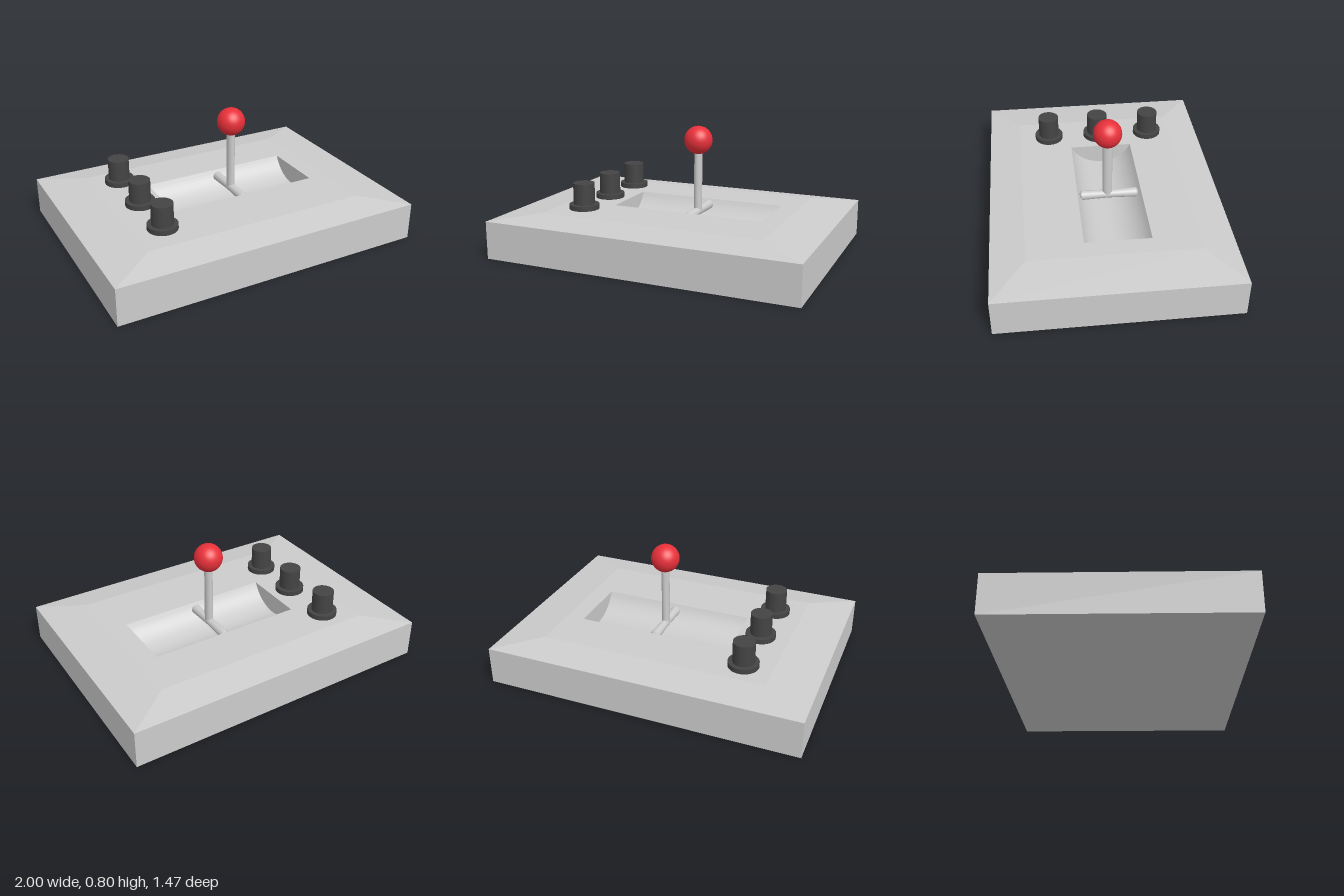
import * as THREE from 'three';

const TOP = 0.275;
const SLOT = { x0: -0.395, x1: 0.6, z0: -0.235, z1: 0.175, depth: 0.13 };
const STICK = { x: 0.105, z: -0.02 };

const mat = (color, extra = {}) => {
  const m = new THREE.MeshStandardMaterial({ color, ...extra });
  return m;
};

function add(parent, name, geometry, material, x = 0, y = 0, z = 0) {
  const mesh = new THREE.Mesh(geometry, material);
  mesh.name = name;
  mesh.position.set(x, y, z);
  parent.add(mesh);
  return mesh;
}

// Four flat walls joining rectangles given as half sizes [x, z, height]
function rectWalls(rings) {
  const corners = ([x, z, y]) => [[-x, y, z], [x, y, z], [x, y, -z], [-x, y, -z]];
  const pos = [];
  for (let r = 0; r < rings.length - 1; r++) {
    const lo = corners(rings[r]), hi = corners(rings[r + 1]);
    for (let i = 0; i < 4; i++) {
      const j = (i + 1) % 4;
      pos.push(...lo[i], ...lo[j], ...hi[j], ...lo[i], ...hi[j], ...hi[i]);
    }
  }
  const g = new THREE.BufferGeometry();
  g.setAttribute('position', new THREE.Float32BufferAttribute(pos, 3));
  g.computeVertexNormals();
  return g;
}

function rectPath(path, x0, x1, y0, y1) {
  path.moveTo(x0, y0);
  path.lineTo(x1, y0);
  path.lineTo(x1, y1);
  path.lineTo(x0, y1);
  path.closePath();
  return path;
}

export function createModel() {
  const model = new THREE.Group();
  model.name = 'joystickPanel';
  const grey = mat(0xcccccc);
  const greyThin = mat(0xcccccc, { side: THREE.DoubleSide });
  const dark = mat(0x444444);
  const red = mat(0xe8303a);

  // Base: walls with sloped border, floor, top plate with a slot
  const base = new THREE.Group();
  base.name = 'base';
  model.add(base);
  add(base, 'baseWalls', rectWalls([[1, 0.735, 0], [1, 0.735, 0.24], [0.72, 0.525, TOP]]), grey);
  add(base, 'baseFloor', new THREE.PlaneGeometry(2, 1.47).rotateX(Math.PI / 2), grey);
  const plate = rectPath(new THREE.Shape(), -0.72, 0.72, -0.525, 0.525);
  plate.holes.push(rectPath(new THREE.Path(), SLOT.x0, SLOT.x1, -SLOT.z1, -SLOT.z0));
  add(base, 'topPlate', new THREE.ShapeGeometry(plate).rotateX(-Math.PI / 2), grey, 0, TOP, 0);

  // Slot: a trough with a circular-arc section and flat ends
  const half = (SLOT.z1 - SLOT.z0) / 2;
  const cx = (SLOT.x0 + SLOT.x1) / 2, cz = (SLOT.z0 + SLOT.z1) / 2;
  const R = (half * half + SLOT.depth ** 2) / (2 * SLOT.depth);
  const arcY = z => R - SLOT.depth - Math.sqrt(R * R - z * z);
  const trough = new THREE.PlaneGeometry(SLOT.x1 - SLOT.x0, 2 * half, 1, 32).rotateX(-Math.PI / 2);
  const p = trough.attributes.position;
  for (let i = 0; i < p.count; i++) p.setY(i, arcY(p.getZ(i)));
  trough.computeVertexNormals();
  add(base, 'slotTrough', trough, greyThin, cx, TOP, cz);
  const section = [];
  for (let i = 0; i <= 32; i++) {
    const z = -half + (2 * half * i) / 32;
    section.push(new THREE.Vector2(z, arcY(z)));
  }
  for (const x of [SLOT.x0, SLOT.x1]) {
    const end = new THREE.ShapeGeometry(new THREE.Shape(section)).rotateY(-Math.PI / 2);
    add(base, 'slotEnd', end, greyThin, x, TOP, cz);
  }

  // Joystick: pivot rod slightly flared at the ends, oval shaft, ball
  const stick = new THREE.Group();
  stick.name = 'joystick';
  model.add(stick);
  const rod = [[0, -0.19], [0.022, -0.187], [0.031, -0.175], [0.026, 0], [0.031, 0.175], [0.022, 0.187], [0, 0.19]]
    .map(([r, y]) => new THREE.Vector2(r, y));
  add(stick, 'pivotRod', new THREE.LatheGeometry(rod, 24).rotateX(Math.PI / 2), grey, STICK.x, 0.243, -0.03);
  const shaft = new THREE.CylinderGeometry(0.025, 0.025, 0.42, 24).scale(1, 1, 1.24);
  add(stick, 'shaft', shaft, grey, STICK.x, 0.45, STICK.z);
  add(stick, 'ballKnob', new THREE.SphereGeometry(0.09, 40, 28), red, STICK.x, 0.708, STICK.z);

  // Three push buttons in a row
  for (const z of [-0.373, -0.018, 0.322]) {
    const button = new THREE.Group();
    button.name = 'button';
    button.position.set(-0.54, TOP, z);
    model.add(button);
    add(button, 'buttonCollar', new THREE.CylinderGeometry(0.095, 0.095, 0.032, 40), dark, 0, 0.016, 0);
    add(button, 'buttonCap', new THREE.CylinderGeometry(0.068, 0.068, 0.168, 40), dark, 0, 0.084, 0);
  }
  return model;
}
